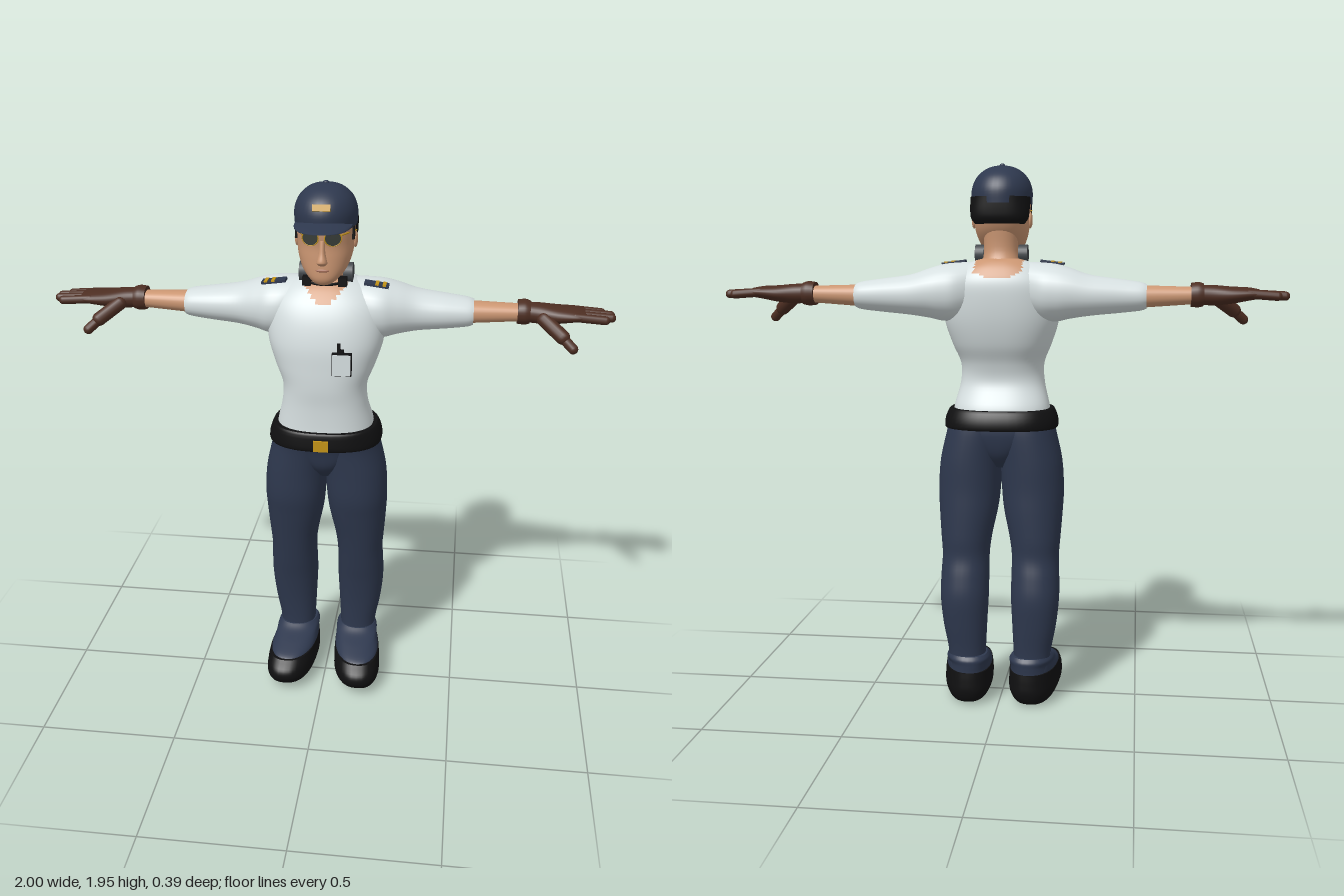
import * as THREE from 'three';

const mat = (name, color) => Object.assign(new THREE.MeshStandardMaterial({ color }), { name });

// Smooth skin over closed cross-sections; rows are [t, uMin, uMax, vMin, vMax].
// axis y: u=x v=z, axis x: u=z v=y. pick(x,y,z) may give a face the second material.
function loft(axis, rows, { n = 32, sub = 5, p = 2.2, pick = null } = {}) {
  const rings = [];
  for (let i = 0; i < rows.length - 1; i++) {
    const [a, b, c, d] = [-1, 0, 1, 2].map(k => rows[THREE.MathUtils.clamp(i + k, 0, rows.length - 1)]);
    for (let s = 0; s < sub; s++) {
      const f = s / sub;
      rings.push(b.map((_, k) => {
        const quad = 2 * a[k] - 5 * b[k] + 4 * c[k] - d[k];
        const cube = 3 * (b[k] - c[k]) + d[k] - a[k];
        return b[k] + 0.5 * f * (c[k] - a[k] + f * (quad + f * cube));
      }));
    }
  }
  rings.push(rows[rows.length - 1]);
  const pos = [], sides = [[], []];
  const put = (t, u, v) => axis === 'y' ? pos.push(u, t, v) : pos.push(t, v, u);
  const pow = c => Math.sign(c) * Math.abs(c) ** (2 / p);
  const ring = ([t, u0, u1, v0, v1]) => {
    for (let j = 0; j < n; j++) {
      const a = j / n * Math.PI * 2;
      put(t, (u0 + u1) / 2 + (u1 - u0) / 2 * pow(Math.cos(a)), (v0 + v1) / 2 + (v1 - v0) / 2 * pow(Math.sin(a)));
    }
  };
  rings.forEach(ring);
  for (let i = 0; i < rings.length - 1; i++) for (let j = 0; j < n; j++) {
    const a = i * n + j, b = i * n + (j + 1) % n;
    const mid = k => (pos[a * 3 + k] + pos[(b + n) * 3 + k]) / 2;
    sides[pick && pick(mid(0), mid(1), mid(2)) ? 1 : 0].push(a, a + n, b, b, a + n, b + n);
  }
  // separate end caps keep a crisp rim
  [rings[0], rings[rings.length - 1]].forEach((r, e) => {
    const base = pos.length / 3;
    ring(r);
    put(r[0], (r[1] + r[2]) / 2, (r[3] + r[4]) / 2);
    for (let j = 0; j < n; j++) {
      const a = base + j, b = base + (j + 1) % n;
      sides[0].push(...(e ? [a, base + n, b] : [b, base + n, a]));
    }
  });
  const g = new THREE.BufferGeometry();
  g.setAttribute('position', new THREE.Float32BufferAttribute(pos, 3));
  g.setIndex([...sides[0], ...sides[1]]);
  if (pick) {
    g.addGroup(0, sides[0].length, 0);
    g.addGroup(sides[0].length, sides[1].length, 1);
  }
  g.computeVertexNormals();
  return g;
}

function bend(g, rule) {
  const P = g.attributes.position, v = new THREE.Vector3();
  for (let i = 0; i < P.count; i++) {
    rule(v.fromBufferAttribute(P, i));
    P.setXYZ(i, v.x, v.y, v.z);
  }
  g.computeVertexNormals();
  return g;
}

function mirrored(geo) {
  const g = geo.clone().scale(-1, 1, 1), ix = g.index.array;
  for (let i = 0; i < ix.length; i += 3) [ix[i], ix[i + 1]] = [ix[i + 1], ix[i]];
  return g;
}

const box = (w, h, d, x, y, z, rx = 0, rz = 0) =>
  new THREE.BoxGeometry(w, h, d).rotateX(rx).rotateZ(rz).translate(x, y, z);
const ball = (r, sx, sy, sz, x, y, z) => new THREE.SphereGeometry(r, 20, 14).scale(sx, sy, sz).translate(x, y, z);

// rounded rod from one point to another
function rod(a, b, r) {
  const A = new THREE.Vector3(...a), d = new THREE.Vector3(...b).sub(A), len = d.length();
  const q = new THREE.Quaternion().setFromUnitVectors(new THREE.Vector3(0, 1, 0), d.clone().normalize());
  return new THREE.CapsuleGeometry(r, len, 6, 14).applyQuaternion(q).translate(...A.addScaledVector(d, 0.5).toArray());
}

export function createModel() {
  const shirt = mat('shirtWhite', 0xd6dfe0), navy = mat('navyCloth', 0x2e384e), skin = mat('skin', 0xcb9672);
  const black = mat('black', 0x101011), brown = mat('brownLeather', 0x4d2e22), gold = mat('gold', 0xc49417);
  const grey = mat('darkGrey', 0x42474b), lens = mat('lens', 0x363b36), lip = mat('lips', 0xa9705a);

  const model = new THREE.Group();
  const add = (name, geo, m) => {
    const mesh = new THREE.Mesh(geo, m);
    mesh.name = name;
    model.add(mesh);
  };
  const pair = (name, geo, m) => {
    add(name + 'Left', geo, m);
    add(name + 'Right', mirrored(geo), m);
  };
  const sym = ([y, w, z0, z1]) => [y, -w, w, z0, z1];

  // Shirt body, open at the neck front and back
  add('shirtBody', loft('y', [
    [1.05, .178, -.165, .115], [1.1, .172, -.158, .112], [1.18, .153, -.117, .113], [1.25, .151, -.126, .119],
    [1.32, .178, -.158, .12], [1.4, .203, -.18, .117], [1.48, .208, -.19, .1], [1.54, .198, -.188, .074],
    [1.585, .155, -.168, .04], [1.612, .1, -.145, .008], [1.622, .065, -.125, -.01]].map(sym), {
    n: 64, sub: 6, p: 2.4,
    pick: (x, y, z) => z > -.06 ? Math.abs(x) < .018 + (y - 1.545) * .95 && y > 1.545
      : Math.abs(x) < .085 && y > 1.555 + x * x * 3,
  }), [shirt, skin]);
  pair('sleeve', loft('x', [
    [.09, -.165, .02, 1.43, 1.612], [.15, -.192, .045, 1.405, 1.609], [.2, -.198, .045, 1.403, 1.604],
    [.25, -.197, .025, 1.414, 1.59], [.32, -.19, -.002, 1.425, 1.567], [.42, -.176, -.016, 1.435, 1.553],
    [.49, -.167, -.028, 1.443, 1.543], [.513, -.16, -.036, 1.45, 1.535]]), shirt);
  pair('forearm', loft('x', [[.47, -.148, -.05, 1.452, 1.532], [.58, -.142, -.056, 1.46, 1.529],
    [.69, -.138, -.062, 1.468, 1.526]]), skin);

  // Gloves
  pair('gloveCuff', loft('x', [[.665, -.148, -.052, 1.458, 1.54], [.69, -.15, -.05, 1.456, 1.543],
    [.708, -.147, -.054, 1.46, 1.538]]), brown);
  pair('gloveHand', loft('x', [[.69, -.142, -.058, 1.466, 1.533], [.74, -.144, -.05, 1.463, 1.533],
    [.8, -.151, -.034, 1.468, 1.528], [.86, -.151, -.025, 1.479, 1.525], [.895, -.148, -.029, 1.485, 1.519]]), brown);
  [[-.134, .955], [-.104, .984], [-.073, .985], [-.042, .962]].forEach(([z, end], i) =>
    pair('gloveFinger' + (i + 1), rod([.86, 1.503, z], [end, 1.496, z], .0155), brown));
  pair('gloveThumbBase', rod([.755, 1.488, -.055], [.82, 1.442, -.004], .025), brown);
  pair('gloveThumbTip', rod([.815, 1.445, -.006], [.856, 1.409, .018], .0175), brown);

  // Trousers
  add('hips', loft('y', [[.88, .04, -.11, .03], [.93, .1, -.15, .07], [1, .19, -.168, .088],
    [1.06, .183, -.165, .112]].map(sym)), navy);
  pair('trouserLeg', loft('y', [
    [.13, .055, .187, -.168, -.035], [.2, .052, .19, -.17, -.035], [.3, .047, .208, -.182, -.025],
    [.4, .042, .218, -.19, -.008], [.48, .042, .217, -.18, .01], [.55, .042, .214, -.166, .025],
    [.62, .033, .219, -.168, .04], [.72, .012, .226, -.168, .062], [.8, .003, .229, -.167, .078],
    [.9, -.002, .222, -.17, .083], [1, -.008, .2, -.17, .088], [1.05, 0, .188, -.165, .1]]), navy);

  // Feet, toes turned slightly out
  const splay = v => { v.x += v.z * .09; };
  pair('shoeUpper', bend(loft('y', [[.11, .04, .212, -.185, .145], [.13, .041, .21, -.185, .125],
    [.15, .044, .205, -.186, .065], [.168, .046, .206, -.186, 0], [.183, .055, .198, -.176, -.03]]), splay), navy);
  pair('shoe', bend(loft('y', [[0, .075, .185, -.145, .09], [.016, .055, .202, -.175, .15],
    [.05, .038, .216, -.19, .18], [.09, .037, .216, -.19, .176], [.125, .04, .212, -.187, .142]],
  { n: 40, p: 2.5 }), v => { splay(v); if (v.z > 0) v.y += v.z * v.z * .5 * (1 - v.y / .125); }), black);

  // Belt
  add('belt', loft('y', [[1.022, .203, -.193, .13], [1.03, .206, -.197, .134], [1.056, .203, -.195, .133],
    [1.082, .193, -.185, .131], [1.09, .187, -.178, .126]].map(sym), { n: 48, sub: 2, p: 2.5 }), black);
  add('buckle', box(.054, .04, .012, 0, 1.047, .134), gold);

  // Chest pocket with pens
  add('pocketEdge', box(.068, .08, .02, .072, 1.355, .122), black);
  add('pocket', box(.062, .074, .026, .072, 1.355, .124), shirt);
  [[.062, 1.405, .05], [.073, 1.395, .03]].forEach(([x, y, h], i) =>
    add('pen' + (i + 1), box(.012, h, .012, x, y, .126), black));

  // Shoulder boards
  pair('shoulderBoard', box(.085, .009, .045, .178, 1.609, .002, 0, -.13), navy);
  [.18, .205].forEach((x, i) => pair('shoulderStripe' + (i + 1),
    box(.012, .005, .046, x, 1.613 - (x - .178) * .13, .002, 0, -.13), gold));

  // Neck and head
  add('neck', loft('y', [[1.56, .08, -.15, .02], [1.6, .069, -.136, .003], [1.65, .06, -.117, 0],
    [1.73, .064, -.122, .01]].map(sym)), skin);
  add('head', loft('y', [[1.617, .018, .03, .066], [1.625, .035, .01, .078], [1.642, .055, -.025, .086],
    [1.67, .077, -.075, .087], [1.71, .092, -.115, .086], [1.75, .098, -.137, .085], [1.79, .1, -.147, .091],
    [1.83, .1, -.15, .094], [1.88, .085, -.13, .08]].map(sym), { n: 40 }), skin);
  add('nose', loft('y', [[1.69, .012, .07, .095], [1.699, .018, .07, .111], [1.708, .017, .07, .115],
    [1.735, .011, .07, .105], [1.775, .009, .07, .095]].map(sym), { n: 16 }), skin);
  add('mouth', ball(.02, 1.15, .3, .25, 0, 1.672, .084), lip);
  pair('ear', ball(.025, .35, 1.15, .75, .1, 1.757, -.028), skin);
  pair('eyebrow', box(.05, .009, .008, .042, 1.815, .089), black);
  add('hair', loft('y', [[1.742, .086, -.14, -.055], [1.76, .1, -.151, -.045], [1.79, .104, -.155, -.03],
    [1.835, .105, -.157, .02]].map(sym), { p: 2.5 }), black);
  pair('sideburn', box(.008, .05, .026, .097, 1.79, .006), black);

  // Sunglasses
  pair('lens', new THREE.CylinderGeometry(.028, .028, .006, 24).rotateX(Math.PI / 2).scale(1, .9, 1)
    .rotateY(.2).translate(.038, 1.786, .097), lens);
  pair('lensRim', new THREE.TorusGeometry(.028, .0022, 6, 28).scale(1, .9, 1).rotateY(.2)
    .translate(.038, 1.786, .099), gold);
  add('glassesBridge', box(.075, .005, .004, 0, 1.809, .102), gold);
  pair('glassesTemple', rod([.066, 1.797, .094], [.104, 1.79, -.02], .0025), gold);

  // Cap
  add('capCrown', loft('y', [[1.812, .106, -.162, .109], [1.86, .107, -.161, .111], [1.9, .093, -.139, .094],
    [1.928, .066, -.1, .058], [1.942, .036, -.06, .018], [1.947, .004, -.024, -.016]].map(sym), { n: 40, p: 2.05 }), navy);
  add('capButton', ball(.01, 1, .7, 1, 0, 1.947, -.02), navy);
  const brim = [];
  for (let i = 0; i <= 16; i++) {
    const x = -.097 * Math.cos(i / 16 * Math.PI), y = 1.838 - 2 * x * x;
    brim.push([x, .03, .05 + .146 * Math.sqrt(Math.max(0, 1 - (x / .098) ** 2)), y - .004, y + .004]);
  }
  add('capBrim', bend(loft('x', brim, { n: 24, sub: 1 }), v => { v.y -= Math.max(0, v.z - .09) * .18; }), navy);
  add('capBadge', box(.06, .022, .009, 0, 1.887, .105, -.4), gold);

  // Headset resting round the neck
  pair('earCup', new THREE.CylinderGeometry(.035, .035, .032, 24).rotateZ(Math.PI / 2).translate(.077, 1.637, -.036), grey);
  pair('headsetClip', box(.03, .03, .036, .062, 1.618, .014), black);
  add('headsetBand', new THREE.TorusGeometry(.066, .005, 8, 24, Math.PI).rotateX(Math.PI / 2)
    .translate(0, 1.612, -.025), black);
  return model;
}
